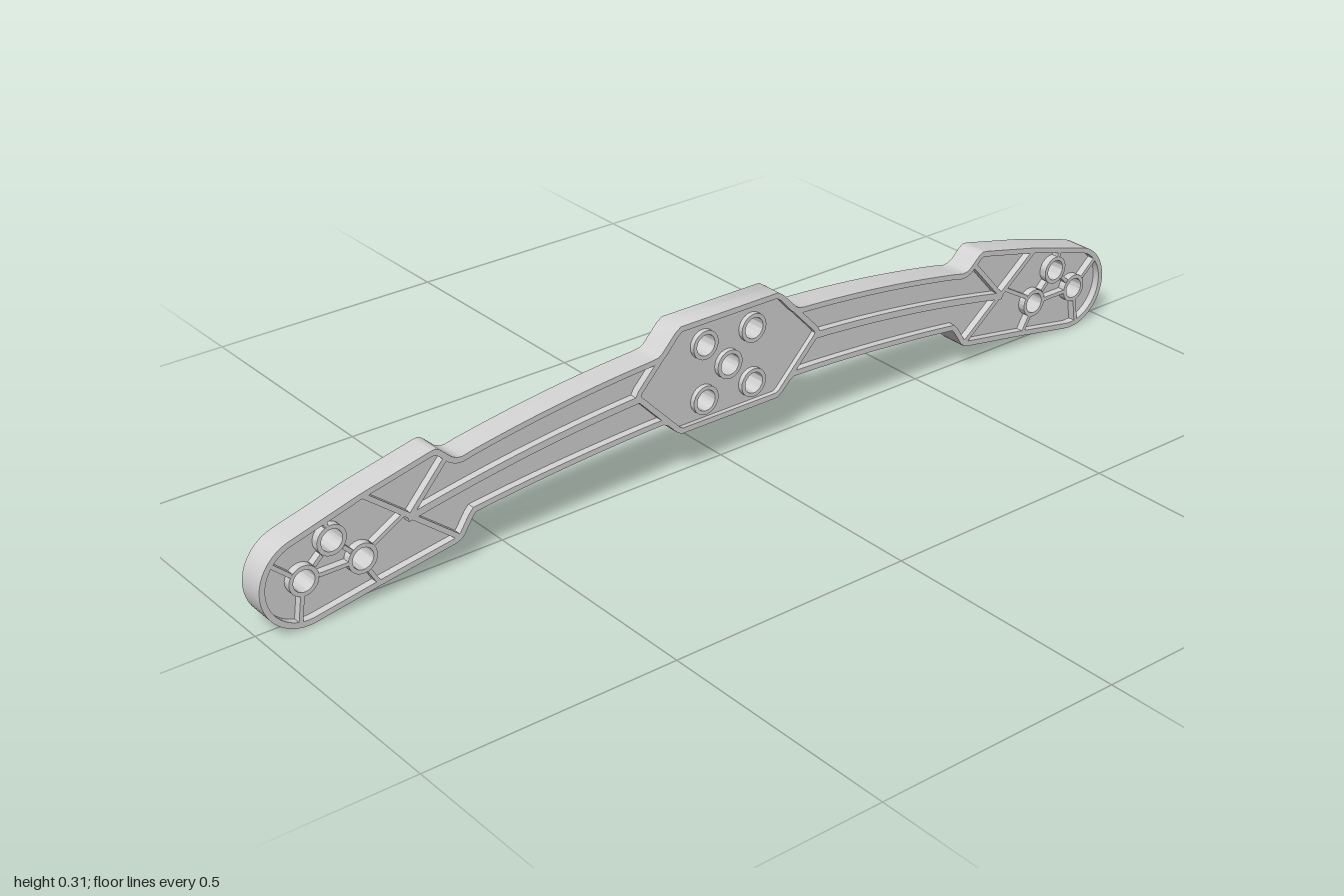
import * as THREE from 'three';
import { toCreasedNormals } from 'three/addons/utils/BufferGeometryUtils.js';

const HALF = 0.028; // half thickness of rim, ribs and bosses
const WEB = 0.013; // half thickness of the recessed web
const PLATE = 0.018; // half thickness of the centre plate
const RIM = 0.011;

const V = (x, y) => new THREE.Vector2(x, y);
const mirror = (pts) => pts.map((p) => V(-p.x, p.y)).reverse();

// shift a line sideways (positive = left of travel, inwards for counter-clockwise loops)
function offset(pts, d, closed) {
  const n = pts.length;
  return pts.map((p, i) => {
    const before = closed || i > 0 ? p.clone().sub(pts[(i + n - 1) % n]).normalize() : null;
    const after = closed || i < n - 1 ? pts[(i + 1) % n].clone().sub(p).normalize() : before;
    const u = before || after;
    const m = V(-u.y - after.y, u.x + after.x).normalize();
    const c = Math.max(0.5, m.dot(V(-after.y, after.x)));
    return p.clone().addScaledVector(m, d / c);
  });
}

function circle(x, y, r) {
  return new THREE.Path().absarc(x, y, r, 0, Math.PI * 2, true);
}

// right half of the outline, from bottom centre round the end to top centre
function halfOutline() {
  const pts = [V(0.115, 0.095), V(0.126, 0.102), V(0.145, 0.121), V(0.156, 0.127)];
  for (let i = 0; i <= 10; i++) {
    const x = 0.18 + i * 0.039;
    pts.push(V(x, 0.13 - 0.105 * x * x));
  }
  pts.push(V(0.577, 0.088), V(0.595, 0.06), V(0.603, 0.052), V(0.615, 0.048), V(0.76, 0.025));
  for (let i = 0; i <= 24; i++) {
    const a = THREE.MathUtils.degToRad(-98 + i * (174 / 24));
    pts.push(V(0.912 + 0.088 * Math.cos(a), 0.088 + 0.088 * Math.sin(a)));
  }
  pts.push(V(0.8, 0.211), V(0.655, 0.244), V(0.645, 0.245), V(0.637, 0.241));
  pts.push(V(0.613, 0.219), V(0.603, 0.214), V(0.592, 0.213));
  for (let i = 0; i <= 10; i++) {
    const x = 0.57 - i * 0.039;
    pts.push(V(x, 0.27 - 0.16 * x * x));
  }
  pts.push(V(0.166, 0.267), V(0.155, 0.274), V(0.128, 0.304), V(0.115, 0.313));
  return pts;
}

export function createModel() {
  const group = new THREE.Group();
  group.name = 'mountingArm';
  const grey = new THREE.MeshStandardMaterial({ color: 0xd3d3d3 });
  grey.name = 'lightGrey';

  function add(name, shape, half) {
    const geo = new THREE.ExtrudeGeometry(shape, { depth: half * 2, bevelEnabled: false, curveSegments: 20 });
    geo.translate(0, 0, -half);
    const mesh = new THREE.Mesh(toCreasedNormals(geo, 0.65), grey);
    mesh.name = name;
    group.add(mesh);
  }
  // raised border that follows a loop
  function border(name, pts, width) {
    const shape = new THREE.Shape(pts);
    shape.holes.push(new THREE.Path(offset(pts, width, true).reverse()));
    add(name, shape, HALF);
  }
  // raised rib along a line
  function rib(name, pts, width) {
    add(name, new THREE.Shape([...offset(pts, -width / 2, false), ...offset(pts, width / 2, false).reverse()]), HALF);
  }

  // holes: x, y, radius
  const endHoles = [];
  for (const s of [1, -1]) {
    endHoles.push([s * 0.915, 0.088, 0.021], [s * 0.8, 0.088, 0.021], [s * 0.857, 0.145, 0.021]);
  }
  const centreHoles = [[0, 0.201, 0.021]];
  for (const x of [-0.057, 0.057]) for (const y of [0.145, 0.258]) centreHoles.push([x, y, 0.021]);
  const cut = (shape, holes) => holes.forEach((h) => shape.holes.push(circle(...h)));

  // body web and rim
  const right = halfOutline();
  const outline = [...right, ...mirror(right)];
  const web = new THREE.Shape(outline);
  cut(web, [...endHoles, ...centreHoles]);
  add('web', web, WEB);
  border('rim', outline, RIM);

  // hexagonal centre plate
  const corner = [V(0.115, 0.095), V(0.126, 0.102), V(0.213, 0.192), V(0.219, 0.203), V(0.213, 0.214), V(0.128, 0.304), V(0.115, 0.313)];
  const hexagon = [...corner, ...mirror(corner)];
  const plate = new THREE.Shape(hexagon);
  cut(plate, centreHoles);
  add('centrePlate', plate, PLATE);
  border('centrePlateRim', hexagon, RIM);

  // hole bosses
  for (const [x, y, r] of [...endHoles, ...centreHoles]) {
    const ring = new THREE.Shape().absarc(x, y, r + 0.008, 0, Math.PI * 2, false);
    ring.holes.push(circle(x, y, r));
    add('boss', ring, HALF);
  }

  // ribs, mirrored on both arms
  const spine = [];
  for (let i = 0; i <= 14; i++) {
    const x = 0.21 + i * 0.0355;
    spine.push(V(x, 0.203 - 0.143 * x * x));
  }
  const ribs = [
    ['spineRib', spine, 0.014],
    ['diagonalRib', [V(0.603, 0.056), V(0.79, 0.205)], 0.01],
    ['shortDiagonalRib', [V(0.705, 0.132), V(0.625, 0.222)], 0.01],
    ['bossRib', [V(0.894, 0.109), V(0.878, 0.124)], 0.008],
    ['bossRib', [V(0.821, 0.109), V(0.836, 0.124)], 0.008],
    ['bossRib', [V(0.829, 0.088), V(0.886, 0.088)], 0.008],
    ['edgeRib', [V(0.938, 0.106), V(0.975, 0.139)], 0.008],
    ['edgeRib', [V(0.92, 0.061), V(0.928, 0.006)], 0.008],
    ['edgeRib', [V(0.865, 0.173), V(0.868, 0.188)], 0.008],
    ['edgeRib', [V(0.789, 0.061), V(0.77, 0.028)], 0.008],
    ['edgeRib', [V(0.778, 0.107), V(0.715, 0.143)], 0.008],
  ];
  for (const [name, pts, width] of ribs) {
    rib(name, pts, width);
    rib(name, mirror(pts), width);
  }
  return group;
}
